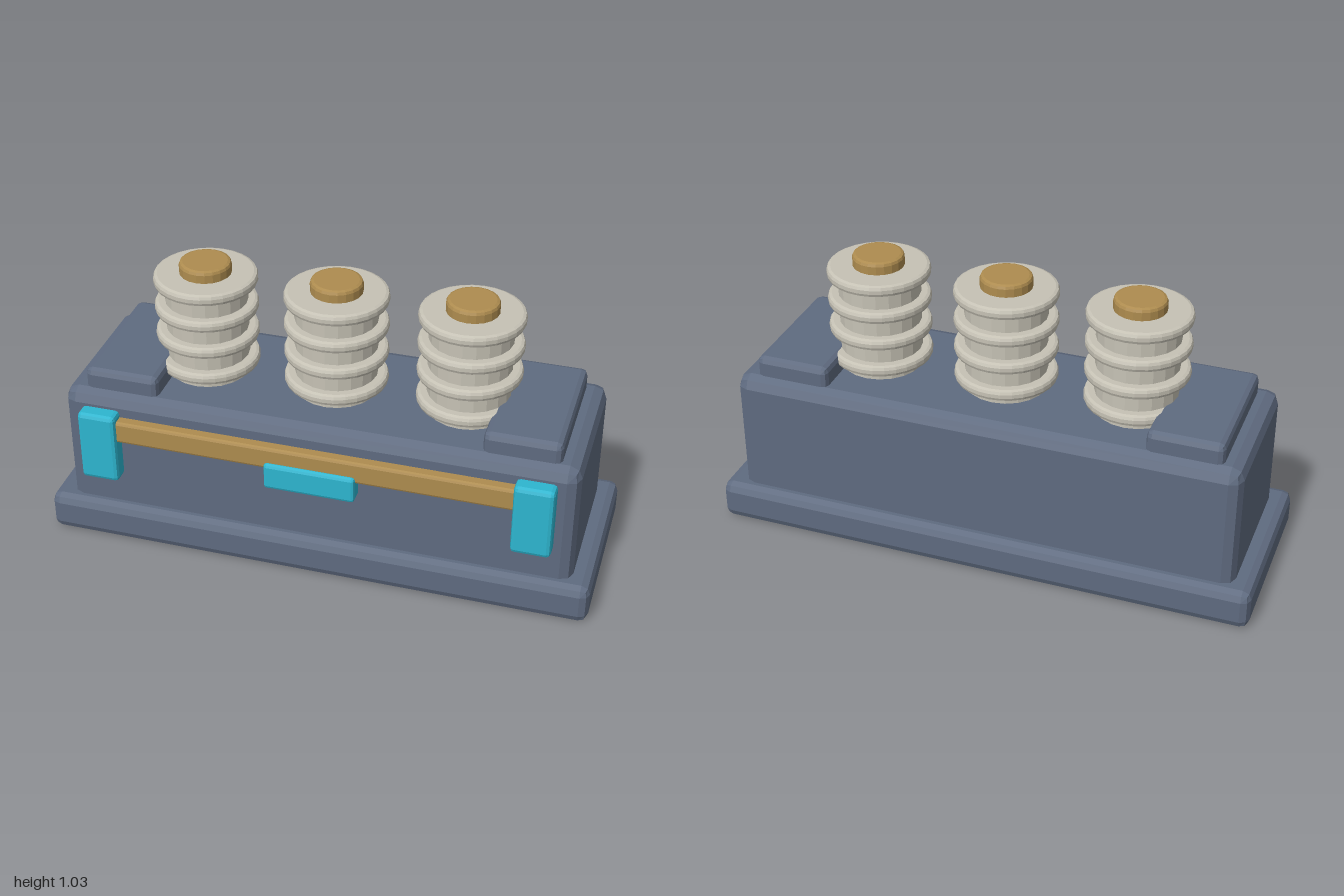
import * as THREE from 'three';

const CZ = -0.005; // depth centre of the main body

// Box with two-step bevelled edges, given by its min and max corners
function bevelBox(min, max, r) {
  const size = max.map((v, i) => v - min[i]);
  const geo = new THREE.BoxGeometry(1, 1, 1, 3, 3, 3);
  const pos = geo.attributes.position;
  const p = new THREE.Vector3(), n = new THREE.Vector3();
  const snap = (v) => (Math.abs(v) > 0.4 ? Math.sign(v) : 0);
  for (let i = 0; i < pos.count; i++) {
    p.fromBufferAttribute(pos, i);
    n.set(snap(p.x), snap(p.y), snap(p.z)).normalize().multiplyScalar(r);
    pos.setXYZ(i,
      Math.sign(p.x) * (size[0] / 2 - r) + n.x,
      Math.sign(p.y) * (size[1] / 2 - r) + n.y,
      Math.sign(p.z) * (size[2] / 2 - r) + n.z);
  }
  geo.translate(...max.map((v, i) => (v + min[i]) / 2));
  const flat = geo.toNonIndexed();
  flat.computeVertexNormals();
  return flat;
}

// Disc with bevelled rims, standing from y0 to y1
function bevelDisc(radius, y0, y1, b, sides) {
  const k = b * 0.293;
  const pts = [
    [0, y0], [radius - b, y0], [radius - k, y0 + k], [radius, y0 + b],
    [radius, y1 - b], [radius - k, y1 - k], [radius - b, y1], [0, y1],
  ].map(([x, y]) => new THREE.Vector2(x, y));
  const geo = new THREE.LatheGeometry(pts, sides).toNonIndexed();
  geo.computeVertexNormals();
  return geo;
}

export function createModel() {
  const material = (name, color) => {
    const m = new THREE.MeshStandardMaterial({ color });
    m.name = name;
    return m;
  };
  const slate = material('slate', 0x5f6b80);
  const ceramic = material('ceramic', 0xc6c2b5);
  const brass = material('brass', 0xae8c4f);
  const cyan = material('cyan', 0x2db6d0);

  const model = new THREE.Group();
  model.name = 'terminalUnit';
  const add = (parent, name, geo, mat) => {
    const mesh = new THREE.Mesh(geo, mat);
    mesh.name = name;
    parent.add(mesh);
    return mesh;
  };

  // Plinth and housing
  add(model, 'base', bevelBox([-1, 0, -0.352], [1, 0.146, 0.341], 0.032), slate);
  add(model, 'housing', bevelBox([-0.93, 0.08, -0.305], [0.93, 0.595, 0.295], 0.045), slate);

  // Raised end pads and front brackets, mirrored
  for (const [side, s] of [['left', 1], ['right', -1]]) {
    const box = (x0, x1, y0, y1, z0, z1, r) => bevelBox(
      [Math.min(s * x0, s * x1), y0, z0], [Math.max(s * x0, s * x1), y1, z1], r);
    add(model, side + 'TopPad', box(0.585, 0.857, 0.56, 0.667, -0.263, 0.252, 0.022), slate);
    add(model, side + 'Bracket', box(0.716, 0.857, 0.267, 0.54, 0.26, 0.352, 0.015), cyan);
  }

  // Front rail and centre latch
  add(model, 'frontRail', bevelBox([-0.76, 0.43, 0.26], [0.76, 0.515, 0.335], 0.01), brass);
  add(model, 'centreLatch', bevelBox([-0.165, 0.355, 0.26], [0.165, 0.456, 0.35], 0.012), cyan);

  // Three ribbed insulators with metal caps
  for (const x of [-0.48, 0, 0.48]) {
    const insulator = new THREE.Group();
    insulator.name = 'insulator';
    insulator.position.set(x, 0, CZ);
    const core = new THREE.CylinderGeometry(0.148, 0.148, 0.4, 20).toNonIndexed();
    core.computeVertexNormals();
    core.translate(0, 0.765, 0);
    add(insulator, 'core', core, ceramic);
    for (let i = 0; i < 4; i++) {
      const y = 0.644 + i * 0.1065;
      add(insulator, 'rib', bevelDisc(0.185, y - 0.021, y + 0.021, 0.014, 28), ceramic);
    }
    add(insulator, 'cap', bevelDisc(0.093, 0.96, 1.028, 0.013, 20), brass);
    model.add(insulator);
  }
  return model;
}
